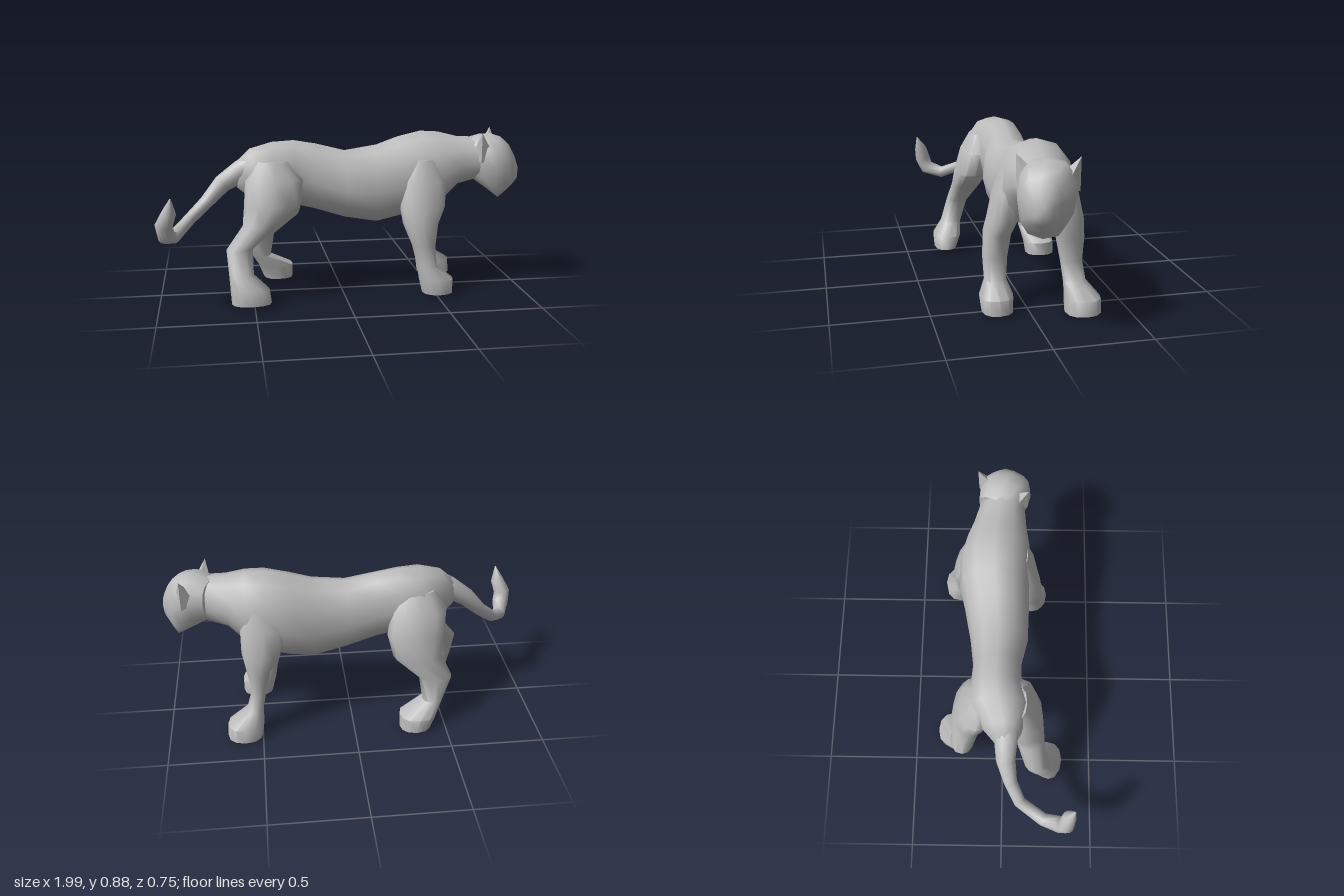
import * as THREE from 'three';
import { toCreasedNormals } from 'three/addons/utils/BufferGeometryUtils.js';

const SIDES = 12;

// Skins a closed surface over rings of points, capped at both ends.
function loft(rings, crease = 0.95) {
  const n = rings[0].length, pos = [], idx = [];
  rings.forEach(r => r.forEach(p => pos.push(p.x, p.y, p.z)));
  for (let i = 0; i < rings.length - 1; i++) {
    for (let j = 0; j < n; j++) {
      const a = i * n + j, b = i * n + (j + 1) % n;
      idx.push(a, b, a + n, b, b + n, a + n);
    }
  }
  [0, rings.length - 1].forEach((k, end) => {
    const c = new THREE.Vector3();
    rings[k].forEach(p => c.addScaledVector(p, 1 / n));
    const ci = pos.length / 3;
    pos.push(c.x, c.y, c.z);
    for (let j = 0; j < n; j++) {
      const a = k * n + j, b = k * n + (j + 1) % n;
      idx.push(...(end ? [a, b, ci] : [b, a, ci]));
    }
  });
  // Turn the faces outward when the enclosed volume is negative
  const v = i => new THREE.Vector3().fromArray(pos, i * 3);
  let volume = 0;
  for (let i = 0; i < idx.length; i += 3) {
    volume += v(idx[i]).dot(v(idx[i + 1]).cross(v(idx[i + 2])));
  }
  if (volume < 0) idx.reverse();
  const g = new THREE.BufferGeometry();
  g.setAttribute('position', new THREE.Float32BufferAttribute(pos, 3));
  g.setIndex(idx);
  return toCreasedNormals(g, crease);
}

// Rounded-box outline in the unit square; smaller power is squarer.
function outline(power) {
  const f = t => Math.sign(t) * Math.pow(Math.abs(t) < 1e-6 ? 0 : Math.abs(t), power);
  return Array.from({ length: SIDES }, (_, j) => {
    const a = j / SIDES * Math.PI * 2;
    return [f(Math.cos(a)), f(Math.sin(a))];
  });
}

// Upright ring at x, widest at a given fraction of its height.
function uprightRing([x, y0, y1, z0, z1], widest, power) {
  const ym = y0 + (y1 - y0) * widest;
  return outline(power).map(([c, s]) => new THREE.Vector3(
    x, ym + s * (s > 0 ? y1 - ym : ym - y0),
    (z0 + z1) / 2 + c * (z1 - z0) / 2));
}

// Level ring at height y.
function levelRing([y, x0, x1, z0, z1]) {
  return outline(0.85).map(([c, s]) => new THREE.Vector3(
    (x0 + x1) / 2 + c * (x1 - x0) / 2, y, (z0 + z1) / 2 + s * (z1 - z0) / 2));
}

export function createModel() {
  const model = new THREE.Group();
  const fur = new THREE.MeshStandardMaterial({ color: 0xbcbcbc });
  fur.name = 'grey fur';
  const add = (name, geometry, parent = model) => {
    const mesh = new THREE.Mesh(geometry, fur);
    mesh.name = name;
    parent.add(mesh);
    return mesh;
  };

  // Trunk and neck: x, bottom, top, right z, left z
  add('body', loft([
    [-0.57, 0.60, 0.745, -0.04, 0.07],
    [-0.50, 0.54, 0.81, -0.10, 0.11],
    [-0.38, 0.50, 0.84, -0.18, 0.14],
    [-0.26, 0.49, 0.845, -0.17, 0.10],
    [-0.14, 0.46, 0.825, -0.16, 0.095],
    [0.02, 0.41, 0.785, -0.18, 0.13],
    [0.20, 0.375, 0.81, -0.215, 0.135],
    [0.32, 0.40, 0.85, -0.245, 0.135],
    [0.45, 0.43, 0.88, -0.25, 0.14],
    [0.55, 0.48, 0.875, -0.225, 0.135],
    [0.65, 0.58, 0.85, -0.18, 0.115],
    [0.76, 0.61, 0.845, -0.145, 0.105],
  ].map(r => uprightRing(r, 0.44, 0.93)), 1.1));

  // Legs: y, back x, front x, right z, left z
  const legs = {
    leftHindLeg: [
      [0.75, -0.47, -0.29, 0.02, 0.125],
      [0.65, -0.53, -0.22, 0.01, 0.18],
      [0.52, -0.54, -0.24, 0.03, 0.215],
      [0.42, -0.55, -0.36, 0.07, 0.225],
      [0.30, -0.64, -0.50, 0.12, 0.24],
      [0.17, -0.63, -0.50, 0.16, 0.28],
      [0.10, -0.625, -0.42, 0.17, 0.335],
      [0.025, -0.62, -0.41, 0.20, 0.33],
    ],
    rightHindLeg: [
      [0.75, -0.45, -0.27, -0.155, -0.05],
      [0.65, -0.51, -0.21, -0.22, -0.05],
      [0.52, -0.50, -0.19, -0.26, -0.07],
      [0.40, -0.48, -0.22, -0.28, -0.11],
      [0.28, -0.54, -0.36, -0.285, -0.16],
      [0.15, -0.49, -0.38, -0.30, -0.18],
      [0.08, -0.45, -0.25, -0.37, -0.19],
      [0.005, -0.42, -0.25, -0.37, -0.20],
    ],
    leftFrontLeg: [
      [0.74, 0.38, 0.52, 0.03, 0.125],
      [0.62, 0.33, 0.57, 0.03, 0.165],
      [0.48, 0.31, 0.56, 0.04, 0.19],
      [0.40, 0.32, 0.52, 0.07, 0.21],
      [0.28, 0.37, 0.50, 0.09, 0.22],
      [0.16, 0.40, 0.51, 0.10, 0.215],
      [0.09, 0.41, 0.60, 0.075, 0.25],
      [0.01, 0.43, 0.60, 0.08, 0.24],
    ],
    rightFrontLeg: [
      [0.75, 0.38, 0.55, -0.215, -0.11],
      [0.62, 0.34, 0.59, -0.26, -0.11],
      [0.48, 0.38, 0.59, -0.29, -0.12],
      [0.38, 0.44, 0.57, -0.295, -0.145],
      [0.25, 0.47, 0.55, -0.287, -0.17],
      [0.15, 0.49, 0.58, -0.30, -0.18],
      [0.08, 0.49, 0.685, -0.36, -0.175],
      [0.003, 0.50, 0.69, -0.36, -0.175],
    ],
  };
  for (const [name, rows] of Object.entries(legs)) add(name, loft(rows.map(levelRing)));

  // Head turned toward the left: forward, bottom, top, right and left reach
  const head = new THREE.Group();
  head.name = 'head';
  head.position.set(0.83, 0, -0.01);
  head.rotation.y = -0.43;
  model.add(head);
  add('skull', loft([
    [-0.11, 0.63, 0.84, -0.10, 0.10],
    [-0.05, 0.59, 0.86, -0.125, 0.125],
    [0.01, 0.55, 0.865, -0.14, 0.14],
    [0.07, 0.505, 0.85, -0.115, 0.13],
    [0.115, 0.55, 0.81, -0.085, 0.105],
    [0.15, 0.59, 0.745, -0.055, 0.07],
    [0.17, 0.62, 0.685, -0.025, 0.03],
  ].map(r => uprightRing(r, 0.55, 0.78)), 1.0), head);

  // Ears: pointed corners rising from the sides of the head
  for (const side of [1, -1]) {
    const geometry = new THREE.ConeGeometry(0.065, 0.15, 4).toNonIndexed();
    geometry.computeVertexNormals();
    const ear = add(side > 0 ? 'leftEar' : 'rightEar', geometry, head);
    ear.position.set(-0.01, 0.813, side * 0.12);
    ear.rotation.x = side * 0.42;
  }

  // Tail, sweeping down and curling up into a tuft: x, y, z, radius
  const tail = [
    [-0.47, 0.72, 0.02, 0.075], [-0.55, 0.69, 0.02, 0.062],
    [-0.65, 0.625, 0.02, 0.05], [-0.74, 0.53, 0.045, 0.036],
    [-0.83, 0.45, 0.095, 0.032], [-0.91, 0.39, 0.22, 0.035],
    [-0.94, 0.42, 0.31, 0.045], [-0.95, 0.48, 0.335, 0.045],
    [-0.92, 0.55, 0.35, 0.036], [-0.91, 0.625, 0.373, 0.003],
  ];
  const path = new THREE.CatmullRomCurve3(tail.map(p => new THREE.Vector3(p[0], p[1], p[2])));
  const tailRings = tail.map(([x, y, z, r], i) => {
    const t = path.getTangent(i / (tail.length - 1));
    const across = new THREE.Vector3(0.6, 0, -0.8).cross(t).normalize();
    const out = t.clone().cross(across);
    return outline(1).map(([c, s]) => new THREE.Vector3(x, y, z)
      .addScaledVector(across, c * r).addScaledVector(out, s * r));
  });
  // Keep the ring corners aligned where the tail bends back
  for (let i = 1; i < tailRings.length; i++) {
    const cost = k => tailRings[i].reduce((sum, _, j) => sum +
      tailRings[i][(j + k) % SIDES].distanceToSquared(tailRings[i - 1][j]), 0);
    let best = 0;
    for (let k = 1; k < SIDES; k++) if (cost(k) < cost(best)) best = k;
    tailRings[i] = tailRings[i].map((_, j) => tailRings[i][(j + best) % SIDES]);
  }
  add('tail', loft(tailRings));

  return model;
}
